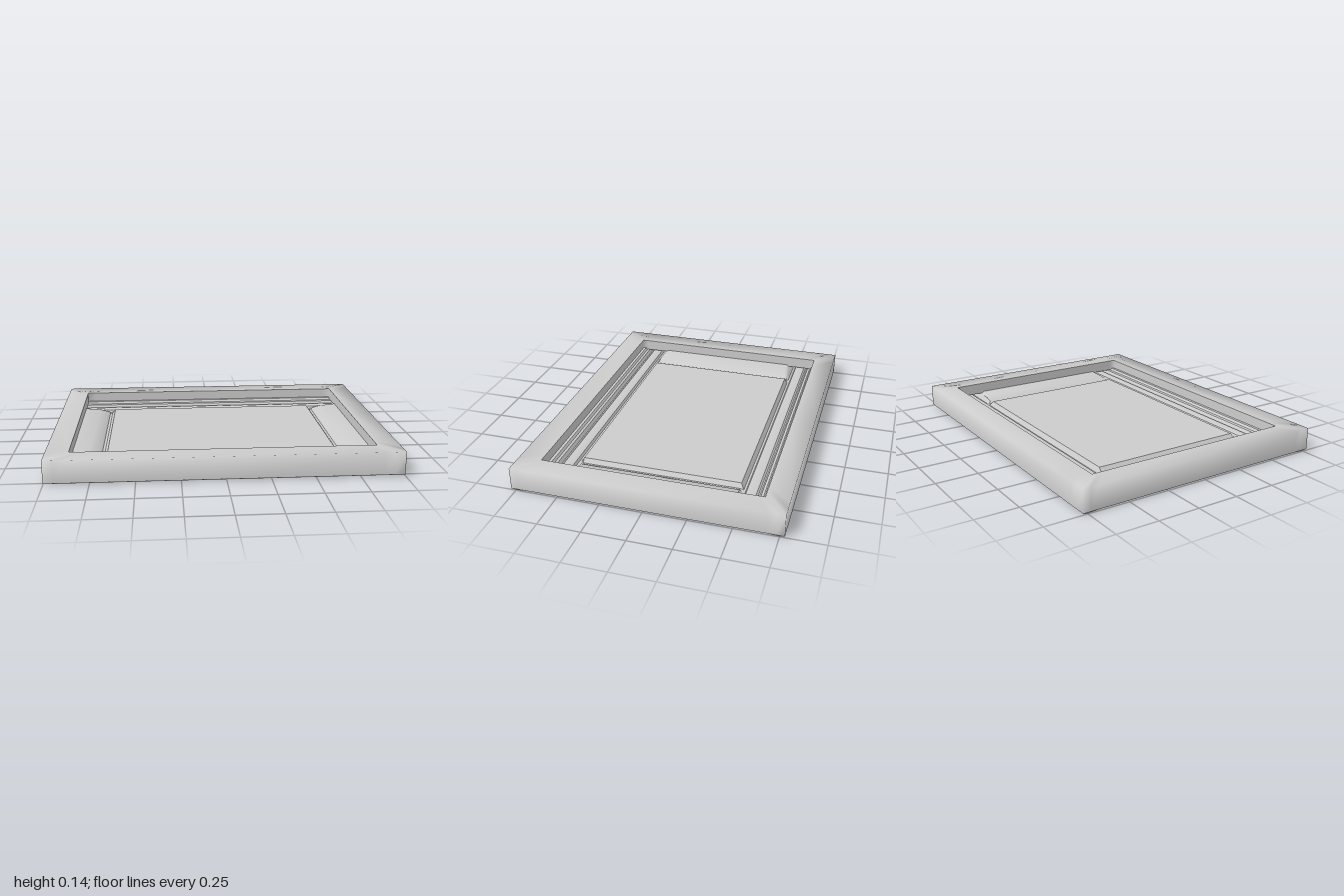
import * as THREE from 'three';
import { toCreasedNormals } from 'three/addons/utils/BufferGeometryUtils.js';

const X = 1, Z = 0.778;

// Piecewise-linear height along a list of [distance, height] points
function heightAt(profile, d) {
  for (let i = 1; i < profile.length; i++) {
    const [d0, h0] = profile[i - 1], [d1, h1] = profile[i];
    if (d <= d1) return h0 + (h1 - h0) * (d - d0) / (d1 - d0);
  }
  return profile[profile.length - 1][1];
}

// Rectangular loop with extra points beside each corner
function loop(hx, hz, y) {
  const corners = [[hx, hz], [hx, -hz], [-hx, -hz], [-hx, hz]];
  return corners.flatMap(([x0, z0], i) => {
    const [x1, z1] = corners[(i + 1) % 4];
    return [0, 0.03, 0.06, 0.5, 0.94, 0.97].map((t) => [x0 + (x1 - x0) * t, y, z0 + (z1 - z0) * t]);
  });
}

// Skin a series of loops into a closed band
function band(loops) {
  const n = loops[0].length, index = [];
  for (let r = 0; r < loops.length - 1; r++) {
    for (let k = 0; k < n; k++) {
      const a = r * n + k, b = r * n + (k + 1) % n;
      index.push(a, b, b + n, a, b + n, a + n);
    }
  }
  const g = new THREE.BufferGeometry();
  g.setAttribute('position', new THREE.Float32BufferAttribute(loops.flat(2), 3));
  g.setIndex(index);
  g.computeVertexNormals();
  return g;
}

export function createModel() {
  const model = new THREE.Group();
  const grey = new THREE.MeshStandardMaterial({ color: 0xcccccc, side: THREE.DoubleSide });
  const add = (geometry, name) => {
    const mesh = new THREE.Mesh(geometry, grey);
    mesh.name = name;
    model.add(mesh);
  };

  // Frame: outer wall and top share softened normals, the opening is crisp
  add(band([loop(X, Z, 0.008), loop(X, Z, 0.14), loop(0.868, 0.643, 0.14)]), 'frame');
  add(band([loop(0.868, 0.643, 0.14), loop(0.868, 0.643, 0.07)]), 'frameOpening');

  // Relief sheet: raised centre panel, side stiles, and moulded rails front and back,
  // rising towards the frame and turned down to a low rim underneath it
  const rim = [[0.955, 0.08], [0.98, 0.006], [0.997, 0.006]];
  const rail = [[0, 0.1], [0.45, 0.1], [0.472, 0.065], [0.49, 0.035], [0.503, 0.035], [0.512, 0.05],
    [0.54, 0.056], [0.57, 0.052], [0.58, 0.042], [0.588, 0.042], [0.60, 0.062], [0.615, 0.066],
    [0.625, 0.08], [0.68, 0.08], [0.705, 0.004], [0.75, 0], [0.775, 0.006]];
  const stile = [[0, 0.065], [0.67, 0.065], [0.69, 0.04], [0.705, 0.04], [0.715, 0.05],
    [0.77, 0.07], [0.86, 0.08], ...rim];
  const railEnd = [[0, 0.08], ...rim];

  const mirrored = (list) => {
    const d = [...new Set(list)].filter((v) => v > 0).sort((a, b) => a - b);
    return [...d.map((v) => -v).reverse(), 0, ...d];
  };
  const xs = mirrored(stile.map((p) => p[0]));
  const zs = mirrored(rail.map((p) => p[0]));

  const sheet = new THREE.PlaneGeometry(1, 1, xs.length - 1, zs.length - 1);
  const pos = sheet.attributes.position;
  for (let i = 0; i < pos.count; i++) {
    const x = xs[i % xs.length], z = zs[Math.floor(i / xs.length)];
    const across = Math.abs(z) < 0.495 ? stile : railEnd;
    pos.setXYZ(i, x, Math.min(heightAt(rail, Math.abs(z)), heightAt(across, Math.abs(x))), z);
  }
  add(toCreasedNormals(sheet, 0.6), 'reliefPanel');

  return model;
}
